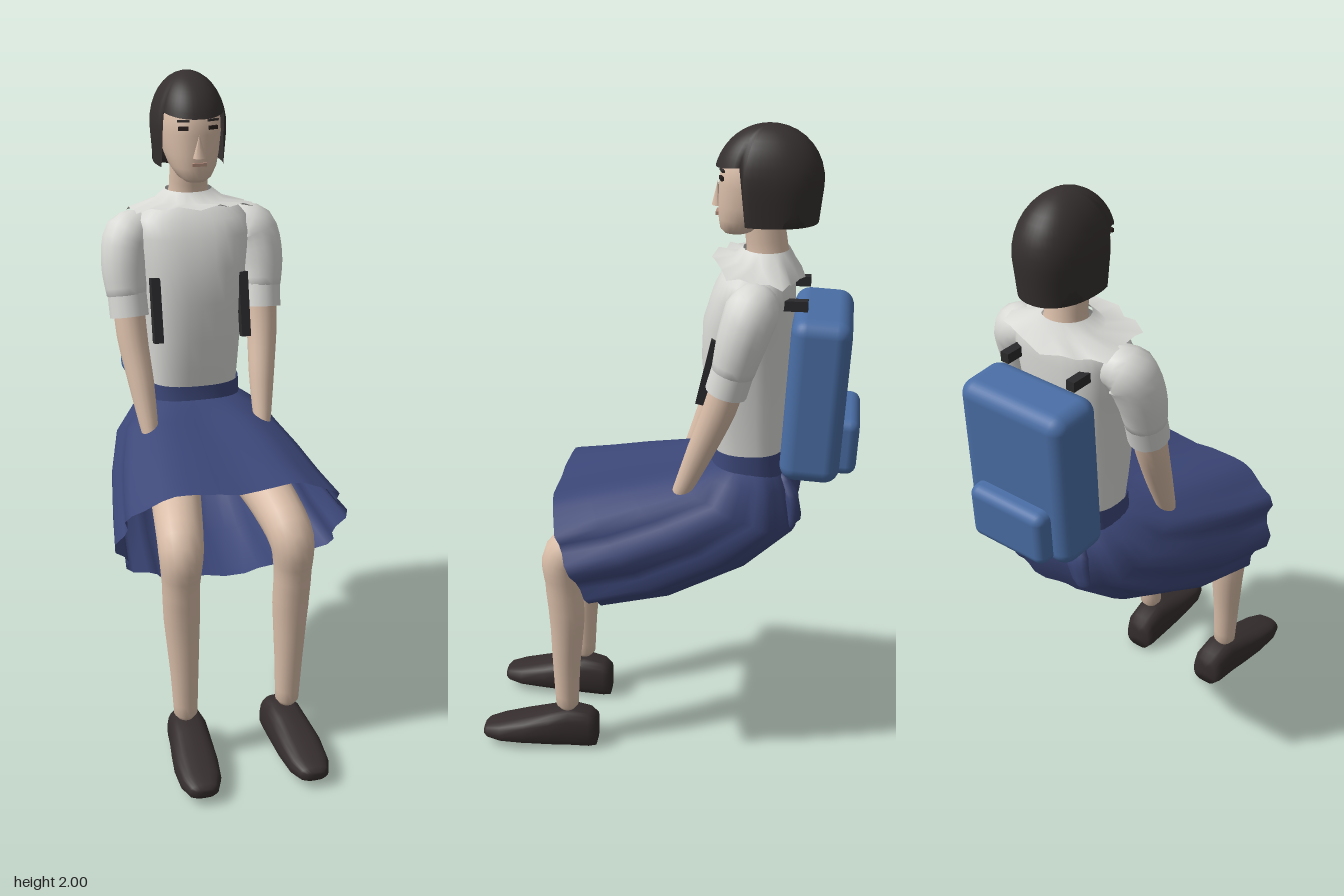
import * as THREE from 'three';
import { RoundedBoxGeometry } from 'three/addons/geometries/RoundedBoxGeometry.js';

const mat = (name, color, side = THREE.FrontSide) => {
  const m = new THREE.MeshStandardMaterial({ color, side });
  m.name = name;
  return m;
};
const V = (x, y, z) => new THREE.Vector3(x, y, z);
// superellipse power
const pw = (v, p) => Math.sign(v) * Math.pow(Math.abs(v), p);

// Skin a series of closed rings, each an array of the same number of points
function loft(rings) {
  const n = rings[0].length, pos = [], idx = [];
  rings.forEach(r => r.forEach(p => pos.push(p.x, p.y, p.z)));
  for (let i = 0; i < rings.length - 1; i++) {
    for (let j = 0; j < n; j++) {
      const a = i * n + j, b = i * n + (j + 1) % n;
      idx.push(a, b, a + n, b, b + n, a + n);
    }
  }
  const g = new THREE.BufferGeometry();
  g.setAttribute('position', new THREE.Float32BufferAttribute(pos, 3));
  g.setIndex(idx);
  g.computeVertexNormals();
  return g;
}
const around = (n, f) => Array.from({ length: n }, (_, j) => {
  const a = j / n * Math.PI * 2;
  return f(Math.cos(a), Math.sin(a), j);
});

// Stack of horizontal sections [y, halfWidth, zFront, zBack], bottom to top
const stack = (rows, n = 28, p = 1) => loft(rows.map(([y, rx, zf, zb]) =>
  around(n, (c, s) => V(rx * pw(c, p), y, (zf + zb) / 2 - (zf - zb) / 2 * pw(s, p)))));

// Rounded tapering limb through points [x, y, z, radius]
function limb(pts, n = 16, flat = 1, steps = 4) {
  const curve = new THREE.CatmullRomCurve3(pts.map(p => V(p[0], p[1], p[2])));
  const total = (pts.length - 1) * steps, rings = [];
  const ring = (t, r, push) => {
    const tan = curve.getTangent(t), c = curve.getPoint(t).addScaledVector(tan, push);
    const u = V(1, 0, 0).addScaledVector(tan, -tan.x).normalize();
    const v = tan.clone().cross(u);
    rings.push(around(n, (co, s) => c.clone().addScaledVector(u, co * r).addScaledVector(v, s * r * flat)));
  };
  const r0 = pts[0][3], r1 = pts[pts.length - 1][3];
  ring(0, 0, -r0 * 0.6);
  ring(0, r0 * 0.65, -r0 * 0.45);
  for (let i = 0; i <= total; i++) {
    const k = Math.min(Math.floor(i / steps), pts.length - 2), f = i / steps - k;
    ring(i / total, pts[k][3] * (1 - f) + pts[k + 1][3] * f, 0);
  }
  ring(1, r1 * 0.65, r1 * 0.45);
  ring(1, 0, r1 * 0.6);
  return loft(rings);
}

export function createModel() {
  const root = new THREE.Group();
  root.name = 'seatedStudent';
  const skin = mat('skin', 0xd9bda8), hair = mat('hair', 0x352f2f, THREE.DoubleSide);
  const shirt = mat('shirt', 0xd8d8d5, THREE.DoubleSide), navy = mat('navyCloth', 0x3c4778, THREE.DoubleSide);
  const bag = mat('bagBlue', 0x4a6ea5), shoe = mat('shoeLeather', 0x352d2d);
  const strap = mat('strap', 0x2a2a2c), eye = mat('eyeDark', 0x2b211f), lip = mat('lips', 0xb58f7e);
  const add = (name, geo, m, x = 0, y = 0, z = 0) => {
    const o = new THREE.Mesh(geo, m);
    o.name = name;
    o.position.set(x, y, z);
    root.add(o);
    return o;
  };

  // Head, neck and face
  add('head', stack([
    [1.685, 0, -0.2, -0.2], [1.687, 0.03, -0.165, -0.23], [1.70, 0.05, -0.152, -0.27],
    [1.73, 0.07, -0.147, -0.32], [1.77, 0.082, -0.145, -0.37], [1.83, 0.092, -0.147, -0.4],
    [1.89, 0.09, -0.153, -0.4], [1.95, 0.06, -0.2, -0.37], [1.97, 0, -0.28, -0.28],
  ], 28, 0.88), skin);
  add('neck', limb([[0, 1.58, -0.295, 0.07], [0, 1.65, -0.288, 0.06], [0, 1.74, -0.275, 0.058]]), skin);
  const nose = add('nose', new THREE.ConeGeometry(0.02, 0.07, 8), skin, 0, 1.80, -0.143);
  nose.scale.z = 0.8;
  add('mouth', new THREE.BoxGeometry(0.045, 0.01, 0.008), lip, 0, 1.745, -0.144);
  for (const s of [-1, 1]) {
    const e = add('eye', new THREE.BoxGeometry(0.03, 0.011, 0.008), eye, s * 0.045, 1.852, -0.157);
    e.rotation.y = s * 0.3;
    const b = add('eyebrow', new THREE.BoxGeometry(0.036, 0.006, 0.008), hair, s * 0.045, 1.874, -0.159);
    b.rotation.y = s * 0.3;
  }

  // Bobbed hair with a fringe: the hem steps up across the face
  const hairRows = [];
  for (let i = 0; i <= 12; i++) {
    hairRows.push(around(48, (c, s) => {
      const front = Math.max(0, -s), hem = front > 0.4 ? 1.905 - 0.025 * front : 1.725;
      const y = hem + (2 - hem) * Math.sin(i / 12 * Math.PI / 2);
      const f = y > 1.84 ? Math.sqrt(Math.max(0, 1 - ((y - 1.84) / 0.16) ** 2)) : 1 - 0.7 * (1.84 - y) ** 1;
      return V(0.112 * f * pw(c, 0.9), y, -0.29 - (s < 0 ? 0.158 : 0.155) * f * pw(s, 0.9));
    }));
  }
  add('hair', loft(hairRows), hair);
  add('hairUnderside', stack([[1.725, 0, -0.33, -0.33], [1.727, 0.1, -0.25, -0.425], [1.8, 0.1, -0.24, -0.43]]), hair);

  // Shirt body
  add('shirtBody', stack([
    [1.02, 0.138, -0.145, -0.36], [1.1, 0.142, -0.13, -0.362], [1.2, 0.147, -0.115, -0.366],
    [1.32, 0.155, -0.105, -0.37], [1.43, 0.165, -0.108, -0.374], [1.52, 0.18, -0.135, -0.375],
    [1.57, 0.175, -0.16, -0.37], [1.605, 0.13, -0.19, -0.36], [1.63, 0.07, -0.22, -0.35],
  ], 32, 0.8), shirt);
  // Pointed flared collar
  const points = j => 1 + 0.09 * (j % 4 === 2 ? 1 : j % 4 === 0 ? -1 : 0);
  add('collar', loft([
    around(24, (c, s, j) => V(0.19 * pw(c, 0.8) * points(j), 1.585 - 0.025 * s + 0.012 * (j % 2),
      -0.265 - 0.125 * pw(s, 0.8) * points(j))),
    around(24, (c, s) => V(0.11 * c, 1.615, -0.28 - 0.09 * s)),
    around(24, (c, s) => V(0.072 * c, 1.645, -0.287 - 0.068 * s)),
  ]), shirt);

  // Skirt: sections between a top and a bottom edge, [topY, topZ, bottomY, bottomZ, halfWidth, pleat]
  const skirtRows = [
    [1.0, -0.135, 0.98, -0.365, 0.146, 0], [0.99, -0.09, 0.93, -0.39, 0.19, 0.01],
    [0.978, -0.03, 0.80, -0.412, 0.245, 0.02], [0.955, 0.12, 0.68, -0.27, 0.29, 0.025],
    [0.935, 0.23, 0.575, -0.05, 0.32, 0.03], [0.915, 0.333, 0.535, 0.165, 0.345, 0.035],
  ];
  add('skirt', loft(skirtRows.map(([ty, tz, by, bz, w, k]) => around(48, (c, s, j) => {
    const fold = 1 + (s < 0.6 ? k : k * 0.2) * (j % 4 < 2 ? 1 : -1);
    const h = pw(s, 0.85) * fold;
    const sag = s > 0 ? k * 1.0 * (1 - Math.min(1, Math.abs(c) * 2.2)) : 0;
    return V(w * pw(c, 0.85) * fold, (ty + by) / 2 + (ty - by) / 2 * h - sag, (tz + bz) / 2 + (tz - bz) / 2 * h);
  }))), navy);
  add('waistband', stack([[0.93, 0.15, -0.12, -0.375], [1.0, 0.148, -0.135, -0.368], [1.045, 0.146, -0.138, -0.366]], 32, 0.8), navy);
  // Shorts closing the inside of the skirt
  add('shorts', limb([[0, 0.9, -0.27, 0.13], [0, 0.83, -0.14, 0.13]], 20, 0.75), navy);

  for (const s of [-1, 1]) {
    const side = s > 0 ? 'left' : 'right';
    const bend = (pts, n, flat) => limb(pts.map(([x, y, z, r]) => [x * s, y, z, r]), n, flat);
    // Arm and puffed sleeve
    add(side + 'Sleeve', bend([[0.14, 1.53, -0.275, 0.06], [0.195, 1.51, -0.26, 0.078],
      [0.216, 1.43, -0.235, 0.072], [0.215, 1.34, -0.212, 0.062]]), shirt);
    add(side + 'Cuff', new THREE.TubeGeometry(new THREE.LineCurve3(
      V(s * 0.216, 1.4, -0.228), V(s * 0.211, 1.275, -0.193)), 1, 0.061, 16), shirt);
    add(side + 'Arm', bend([[0.212, 1.36, -0.215, 0.05], [0.208, 1.22, -0.175, 0.048],
      [0.193, 1.08, -0.12, 0.04], [0.183, 0.97, -0.075, 0.03], [0.178, 0.91, -0.048, 0.022]]), skin);
    // Leg
    add(side + 'Leg', bend([[0.1, 0.84, -0.25, 0.085], [0.125, 0.81, 0, 0.08], [0.152, 0.765, 0.18, 0.074],
      [0.17, 0.7, 0.295, 0.068], [0.173, 0.6, 0.302, 0.057], [0.17, 0.48, 0.296, 0.055],
      [0.165, 0.3, 0.303, 0.043], [0.162, 0.155, 0.305, 0.036]], 18), skin);
    // Shoe: cross-sections along z, [z, centreX, halfWidth, top, bottom]
    add(side + 'Shoe', loft([
      [0.212, 0.148, 0, 0.07, 0.04], [0.212, 0.148, 0.045, 0.105, 0.005], [0.235, 0.15, 0.055, 0.125, 0.004],
      [0.3, 0.153, 0.06, 0.14, 0.007], [0.36, 0.158, 0.064, 0.125, 0.01], [0.44, 0.164, 0.068, 0.105, 0.016],
      [0.52, 0.168, 0.062, 0.083, 0.021], [0.565, 0.17, 0.045, 0.07, 0.027], [0.577, 0.17, 0.03, 0.06, 0.032],
      [0.577, 0.17, 0, 0.05, 0.04],
    ].map(([z, x, w, t, b]) => around(20, (c, q) => {
      const taper = 1 - 0.18 * Math.max(0, q);
      return V(s * x + w * taper * pw(c, 0.6), (t + b) / 2 + (t - b) / 2 * pw(q, 0.6), z);
    }))), shoe);
    // Backpack straps, upper stub and front band
    add(side + 'StrapTop', new THREE.BoxGeometry(0.028, 0.03, 0.11), strap, s * 0.118, 1.512, -0.36);
    const band = add(side + 'StrapFront', new THREE.BoxGeometry(0.028, 0.2, 0.035), strap, s * 0.138, 1.305, -0.138);
    band.rotation.x = -0.22;
    // Skirt folds behind the hips
    add(side + 'SkirtFold', bend([[0.08, 0.96, -0.36, 0.025], [0.1, 0.9, -0.385, 0.04], [0.12, 0.82, -0.385, 0.03]], 8, 0.6), navy);
  }

  // Backpack
  const pack = new THREE.Group();
  pack.name = 'backpack';
  pack.position.set(0, 1.23, -0.447);
  pack.rotation.x = -0.05;
  const body = new THREE.Mesh(new RoundedBoxGeometry(0.37, 0.5, 0.175, 4, 0.045), bag);
  body.name = 'backpackBody';
  const pocket = new THREE.Mesh(new RoundedBoxGeometry(0.27, 0.175, 0.09, 3, 0.03), bag);
  pocket.name = 'backpackPocket';
  pocket.position.set(0, -0.145, -0.091);
  pack.add(body, pocket);
  root.add(pack);
  return root;
}
